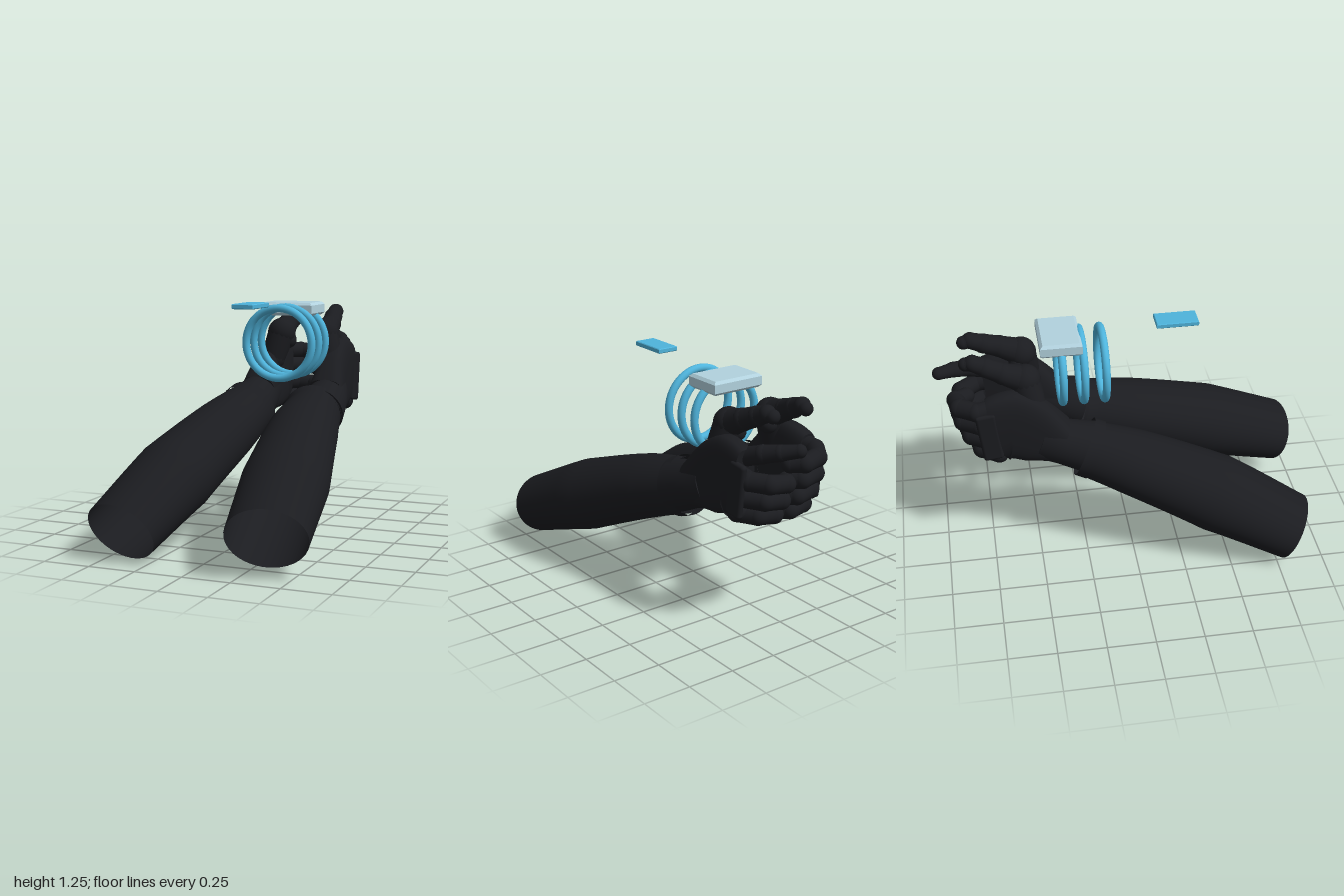
import * as THREE from 'three';
import { mergeGeometries } from 'three/addons/utils/BufferGeometryUtils.js';
import { RoundedBoxGeometry } from 'three/addons/geometries/RoundedBoxGeometry.js';

const paint = (color) => new THREE.MeshStandardMaterial({ color, side: THREE.DoubleSide });

// Smooth loft through stations [x, y, z, halfWidth, halfHeight]; power < 1 squares the section
function loft(stations, { steps = 6, sides = 32, power = 1, open = false } = {}) {
  const curve = new THREE.CatmullRomCurve3(stations.map((s) => new THREE.Vector3(s[0], s[1], s[2])));
  const rows = (stations.length - 1) * steps;
  const up = new THREE.Vector3(0, 1, 0);
  const pos = [], idx = [];
  const bend = (v) => Math.sign(v) * Math.abs(v) ** power;
  for (let i = 0; i <= rows; i++) {
    const k = Math.min(Math.floor(i / steps), stations.length - 2), f = i / steps - k;
    const rx = THREE.MathUtils.lerp(stations[k][3], stations[k + 1][3], f);
    const ry = THREE.MathUtils.lerp(stations[k][4], stations[k + 1][4], f);
    const c = curve.getPoint(i / rows), T = curve.getTangent(i / rows);
    const S = new THREE.Vector3().crossVectors(up, T).normalize();
    const U = new THREE.Vector3().crossVectors(T, S);
    for (let j = 0; j < sides; j++) {
      const a = (j / sides) * Math.PI * 2;
      const p = c.clone().addScaledVector(S, rx * bend(Math.cos(a))).addScaledVector(U, ry * bend(Math.sin(a)));
      pos.push(p.x, p.y, p.z);
    }
  }
  for (let i = 0; i < rows; i++) for (let j = 0; j < sides; j++) {
    const a = i * sides + j, b = i * sides + (j + 1) % sides;
    idx.push(a, b, a + sides, b, b + sides, a + sides);
  }
  // flat end caps with their own rim vertices
  for (const row of open ? [] : [0, rows]) {
    const c = curve.getPoint(row / rows), base = pos.length / 3;
    pos.push(c.x, c.y, c.z, ...pos.slice(row * sides * 3, (row + 1) * sides * 3));
    for (let j = 0; j < sides; j++) {
      const a = base + 1 + j, b = base + 1 + (j + 1) % sides;
      idx.push(base, ...(row ? [a, b] : [b, a]));
    }
  }
  const g = new THREE.BufferGeometry();
  g.setAttribute('position', new THREE.Float32BufferAttribute(pos, 3));
  g.setIndex(idx);
  g.computeVertexNormals();
  return g;
}

// Jointed digit: tapered segments with round joints, stations [x, y, z, radius]
function digit(stations) {
  const parts = [];
  stations.forEach(([x, y, z, r], i) => {
    const ball = new THREE.SphereGeometry(r, 16, 12).translate(x, y, z);
    ball.deleteAttribute('uv');
    parts.push(ball);
    if (i) parts.push(loft([stations[i - 1], stations[i]].map((s) => [s[0], s[1], s[2], s[3] * 0.97, s[3] * 0.97]), { steps: 2, sides: 16 }));
  });
  return mergeGeometries(parts);
}

// Flat plate with chamfered edges, centred, thickness along y
function plate(w, h, d, b) {
  const x = w / 2 - b, y = d / 2 - b;
  const shape = new THREE.Shape([[-x, -y], [x, -y], [x, y], [-x, y]].map((p) => new THREE.Vector2(...p)));
  return new THREE.ExtrudeGeometry(shape, { depth: h - 2 * b, bevelSize: b, bevelThickness: b, bevelSegments: 1 })
    .translate(0, 0, b - h / 2).rotateX(-Math.PI / 2);
}

export function createModel() {
  const model = new THREE.Group();
  const dark = paint(0x1b1c20), blue = paint(0x4fb4dc), pale = paint(0xb2d2de);
  const add = (parent, name, geometry, material = dark) => {
    const m = new THREE.Mesh(geometry, material);
    m.name = name;
    parent.add(m);
    return m;
  };

  // forearms, elbow to wrist
  const forearms = {
    right: [[-0.405, 0.151, 0.85, 0.204, 0.166], [-0.31, 0.36, 0.44, 0.22, 0.202], [-0.215, 0.55, 0, 0.185, 0.17], [-0.17, 0.637, -0.24, 0.148, 0.145]],
    left: [[0.402, 0.21, 0.93, 0.204, 0.165], [0.33, 0.383, 0.5, 0.222, 0.197], [0.248, 0.56, 0.03, 0.188, 0.17], [0.215, 0.637, -0.24, 0.148, 0.145]],
  };

  for (const side of ['right', 'left']) {
    const arm = new THREE.Group();
    arm.name = side + 'Arm';
    model.add(arm);
    // hands mirror about x = 0.04
    const flip = (list) => list.map(([x, ...rest]) => [side === 'left' ? 0.08 - x : x, ...rest]);

    // open sleeve and its band
    add(arm, 'forearm', loft(forearms[side], { steps: 8, sides: 40, open: true }));
    const wristX = forearms[side][3][0], out = Math.sign(wristX) * 0.006;
    add(arm, 'cuff', loft([[wristX + out, 0.62, -0.19, 0.16, 0.158], [wristX - out, 0.642, -0.245, 0.16, 0.158]], { steps: 1, sides: 40, open: true }));
    add(arm, 'wrist', loft(flip([[-0.168, 0.64, -0.22, 0.138, 0.138], [-0.165, 0.69, -0.36, 0.115, 0.122], [-0.158, 0.73, -0.47, 0.09, 0.13]])));
    add(arm, 'palm', loft(flip([
      [-0.16, 0.70, -0.37, 0.1, 0.115], [-0.155, 0.76, -0.49, 0.082, 0.175],
      [-0.15, 0.81, -0.61, 0.072, 0.205], [-0.155, 0.8, -0.73, 0.06, 0.18],
    ]), { power: 0.65 }));

    // thumb rises from the palm and points forward
    add(arm, 'thumb', digit(flip([
      [-0.135, 0.89, -0.5, 0.07], [-0.09, 1.045, -0.53, 0.08], [-0.09, 1.09, -0.64, 0.058],
      [-0.075, 1.125, -0.725, 0.052], [-0.068, 1.153, -0.79, 0.044], [-0.062, 1.147, -0.825, 0.036],
    ])));
    const [[bx]] = flip([[-0.06]]);
    add(arm, 'thumbPad', new THREE.SphereGeometry(0.05, 20, 14)).position.set(bx, 1.0, -0.55);

    // fingers curl inward; the left index stays stretched
    [0.915, 0.83, 0.735, 0.645].forEach((y, i) => {
      const tip = [-0.89, -0.875, -0.84, -0.79][i], r = 0.05;
      const curled = [
        [-0.155, y + 0.01, -0.71, r], [-0.16, y, tip + 0.1, r], [-0.1, y - 0.005, tip + 0.015, r],
        [-0.01, y - 0.015, tip, r * 0.95], [0.035, y - 0.025, tip + 0.055, r * 0.88],
      ];
      const stretched = [[0.21, 0.93, -0.71, 0.05], [0.185, 0.965, -0.81, 0.048], [0.145, 0.985, -0.89, 0.042], [0.09, 1.005, -0.965, 0.034]];
      add(arm, 'finger' + (i + 1), digit(side === 'left' && i === 0 ? stretched : flip(curled)));
    });

    // plate over the knuckles
    const [[gx]] = flip([[-0.202]]);
    const guard = add(arm, 'knuckleGuard', new RoundedBoxGeometry(0.036, 0.28, 0.105, 4, 0.016));
    guard.position.set(gx, 0.785, -0.735);
    guard.rotation.x = -0.12;
  }

  // floating rings
  for (const z of [-0.12, -0.23, -0.34]) {
    add(model, 'ring', new THREE.TorusGeometry(0.19, 0.021, 16, 64), blue).position.set(0.05, 1.016, z);
  }

  // floating plates
  add(model, 'largePlate', plate(0.295, 0.072, 0.215, 0.014), pale).position.set(0.05, 1.194, -0.342);
  add(model, 'smallPlate', plate(0.115, 0.026, 0.22, 0.004), blue).position.set(0.048, 1.24, 0.268);

  return model;
}
